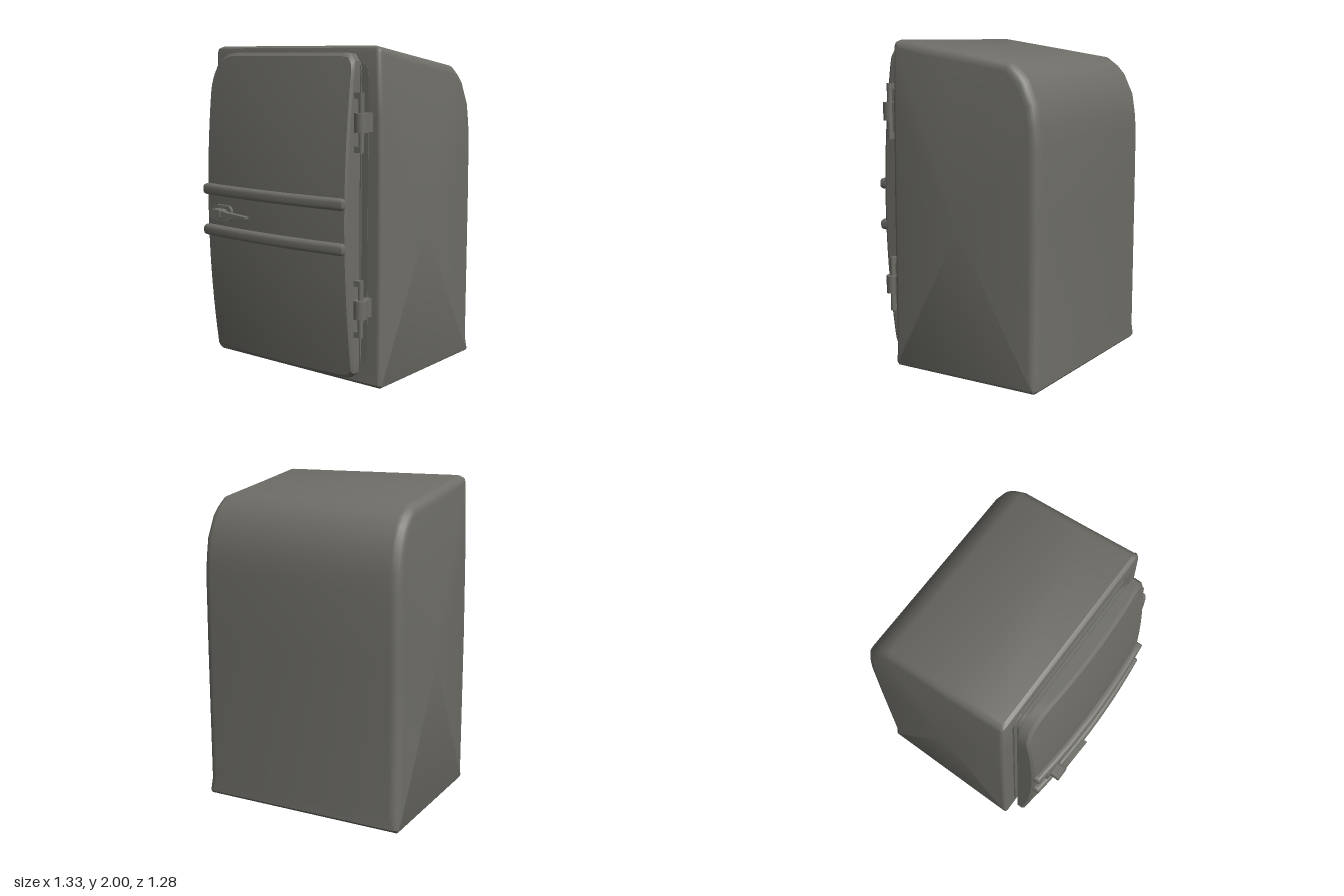
import * as THREE from 'three';
import { toCreasedNormals } from 'three/addons/utils/BufferGeometryUtils.js';

const enamel = new THREE.MeshStandardMaterial({ color: 0x6e6d67 });
enamel.name = 'grey enamel';

function add(parent, name, geometry, x = 0, y = 0, z = 0) {
  const mesh = new THREE.Mesh(geometry, enamel);
  mesh.name = name;
  mesh.position.set(x, y, z);
  parent.add(mesh);
  return mesh;
}

// Joins equal closed rings into a skin, with a fan at both ends
function skin(rings, startCentre, endCentre, crease) {
  const n = rings[0].length, last = (rings.length - 1) * n;
  const points = [...rings.flat(), startCentre, endCentre];
  const s = points.length - 2, e = s + 1, index = [];
  for (let i = 0; i < n; i++) {
    const k = (i + 1) % n;
    for (let j = 0; j < last; j += n) {
      index.push(j + i, j + n + i, j + n + k, j + i, j + n + k, j + k);
    }
    index.push(s, i, k, e, last + k, last + i);
  }
  const g = new THREE.BufferGeometry();
  g.setAttribute('position', new THREE.Float32BufferAttribute(points.flat(), 3));
  g.setIndex(index);
  return toCreasedNormals(g, crease);
}

// Cabinet: side profile of [z, y, edge radius], swept across x with rounded edges
function cabinetGeometry() {
  const p = [
    [0.37, 0.02, 0.02], [0.37, 0.1, 0.03], [0.37, 1, 0.03], [0.37, 1.6, 0.03],
    [0.37, 1.96, 0.03], [0.362, 1.988, 0.035], [0.34, 2, 0.05],
    [0, 1.95, 0.06], [-0.43, 1.885, 0.06], [-0.5, 1.835, 0.06], [-0.55, 1.78, 0.06],
    [-0.61, 1.65, 0.06], [-0.628, 1.53, 0.06], [-0.637, 1.42, 0.06], [-0.637, 1, 0.06],
    [-0.637, 0.1, 0.06], [-0.637, 0.02, 0.03], [-0.617, 0, 0.02], [0.35, 0, 0.02],
  ];
  const halfWidth = (y) => 0.665 - 0.022 * Math.pow(y / 2, 5);
  const inward = p.map((_, i) => {
    const a = p[(i + p.length - 1) % p.length], b = p[(i + 1) % p.length];
    const dz = b[0] - a[0], dy = b[1] - a[1], l = Math.hypot(dz, dy);
    return [-dy / l, dz / l];
  });
  const ring = (side, t) => p.map(([z, y, r], i) => {
    const inset = r * (1 - Math.cos(t));
    return [side * (halfWidth(y) - r * (1 - Math.sin(t))),
      y + inward[i][1] * inset, z + inward[i][0] * inset];
  });
  const angles = [0, 1, 2, 3, 4].map((k) => (k * Math.PI) / 8);
  const rings = [
    ...[...angles].reverse().map((t) => ring(-1, t)),
    ...angles.map((t) => ring(1, t)),
  ];
  return skin(rings, [-0.665, 0.9, -0.1], [0.665, 0.9, -0.1], 0.6);
}

// Door outline: large upper hinge-opposite corner, small corners on the hinge side
function doorOutline() {
  const s = new THREE.Shape();
  s.moveTo(-0.58, 0.06);
  s.lineTo(0.48, 0.06);
  s.quadraticCurveTo(0.54, 0.06, 0.54, 0.12);
  s.lineTo(0.54, 1.88);
  s.quadraticCurveTo(0.54, 1.96, 0.48, 1.96);
  s.lineTo(-0.39, 1.96);
  s.bezierCurveTo(-0.5, 1.955, -0.575, 1.87, -0.58, 1.74);
  s.closePath();
  return s.getSpacedPoints(120).slice(0, -1);
}

// Front of the door bulges in both directions
const doorFront = (x, y) => 0.57 - 0.075 * ((y - 1.01) / 0.95) ** 2 - 0.035 * (x / 0.57) ** 2;

function doorGeometry() {
  const outline = doorOutline(), cx = -0.02, cy = 1;
  const ring = (scale, depth) => outline.map((q) => {
    const x = cx + (q.x - cx) * scale, y = cy + (q.y - cy) * scale;
    return [x, y, depth ?? doorFront(x, y)];
  });
  const edge = ring(1).map(([x, y, z]) => [x, y, z - 0.015]);
  const face = [0.98, 0.85, 0.7, 0.55, 0.4, 0.25, 0.1].map((s) => ring(s));
  // Rings run from the back, round the edge, to the middle of the front
  const rings = [ring(1, 0.41), edge, ...face].map((r) => [...r].reverse());
  return skin(rings, [cx, cy, 0.41], [cx, cy, doorFront(cx, cy)], 0.5);
}

function roundedRect(x0, x1, y0, y1, r) {
  const s = new THREE.Shape();
  s.absarc(x1 - r, y1 - r, r, 0, Math.PI / 2);
  s.absarc(x0 + r, y1 - r, r, Math.PI / 2, Math.PI);
  s.absarc(x0 + r, y0 + r, r, Math.PI, Math.PI * 1.5);
  s.absarc(x1 - r, y0 + r, r, Math.PI * 1.5, Math.PI * 2);
  s.closePath();
  return s;
}

const plate = (shape, depth) =>
  new THREE.ExtrudeGeometry(shape, { depth, bevelEnabled: false, curveSegments: 6 });

// Trim bar that follows the bow of the door, with rounded edges
function barGeometry() {
  const b = 0.022, left = -0.578 + b, right = 0.535 - b, steps = 16;
  const bow = (x) => 0.605 - b - 0.035 * (x / 0.57) ** 2;
  const pts = [];
  for (let i = 0; i <= steps; i++) {
    const x = left + ((right - left) * i) / steps;
    pts.push(new THREE.Vector2(x, -bow(x)));
  }
  for (let i = steps; i >= 0; i--) {
    const x = left + ((right - left) * i) / steps;
    pts.push(new THREE.Vector2(x, 0.032 - bow(x)));
  }
  const g = new THREE.ExtrudeGeometry(new THREE.Shape(pts), {
    depth: 0.07 - 2 * b, bevelThickness: b, bevelSize: b, bevelSegments: 4,
  });
  g.translate(0, 0, b - 0.035);
  g.rotateX(-Math.PI / 2);
  return toCreasedNormals(g, 0.7);
}

function makeHinge(y) {
  const hinge = new THREE.Group();
  hinge.name = 'hinge';
  hinge.position.set(0.58, y, 0.45);
  add(hinge, 'hingeBarrel', new THREE.CylinderGeometry(0.041, 0.041, 0.11, 16));
  add(hinge, 'hingeArm', new THREE.BoxGeometry(0.042, 0.11, 0.09), 0, 0, -0.04);
  add(hinge, 'hingePin', new THREE.CylinderGeometry(0.017, 0.017, 0.34, 10));
  for (const side of [-1, 1]) {
    add(hinge, 'hingeLug', new THREE.BoxGeometry(0.045, 0.035, 0.032), -0.022, side * 0.152, 0);
  }
  return hinge;
}

function makeHandle() {
  const handle = new THREE.Group();
  handle.name = 'handle';
  add(handle, 'handlePlate', plate(roundedRect(-0.49, -0.33, 0.92, 1.02, 0.035), 0.03), 0, 0, 0.545);
  add(handle, 'handleBlock', plate(roundedRect(-0.46, -0.37, 0.943, 1.0, 0.015), 0.075), 0, 0, 0.56);
  const outline = [[-0.375, 0.948], [-0.32, 0.96], [-0.155, 0.965], [-0.155, 0.98], [-0.32, 0.988], [-0.375, 0.997]];
  const lever = plate(new THREE.Shape(outline.map(([x, y]) => new THREE.Vector2(x, y))), 0.035);
  const pos = lever.attributes.position;
  for (let i = 0; i < pos.count; i++) pos.setZ(i, pos.getZ(i) + 0.594 + (pos.getX(i) + 0.375) * 0.05);
  add(handle, 'handleLever', lever);
  return handle;
}

export function createModel() {
  const model = new THREE.Group();
  model.name = 'refrigerator';
  add(model, 'cabinet', cabinetGeometry());

  // Stepped seal between cabinet and door
  add(model, 'cabinetRim', plate(roundedRect(-0.55, 0.57, 0.14, 1.9, 0.05), 0.004), 0, 0, 0.368);
  add(model, 'sealBack', plate(roundedRect(-0.565, 0.525, 0.08, 1.94, 0.08), 0.012), 0, 0, 0.368);
  add(model, 'sealMiddle', plate(roundedRect(-0.54, 0.5, 0.11, 1.91, 0.08), 0.01), 0, 0, 0.38);
  add(model, 'sealFront', plate(roundedRect(-0.55, 0.515, 0.09, 1.93, 0.08), 0.012), 0, 0, 0.39);
  add(model, 'sealNeck', plate(roundedRect(-0.54, 0.5, 0.11, 1.91, 0.08), 0.012), 0, 0, 0.4);

  add(model, 'door', doorGeometry());
  for (const y of [0.85, 1.11]) add(model, 'trimBar', barGeometry(), 0, y, 0);
  for (const y of [0.49, 1.57]) model.add(makeHinge(y));
  model.add(makeHandle());
  return model;
}
